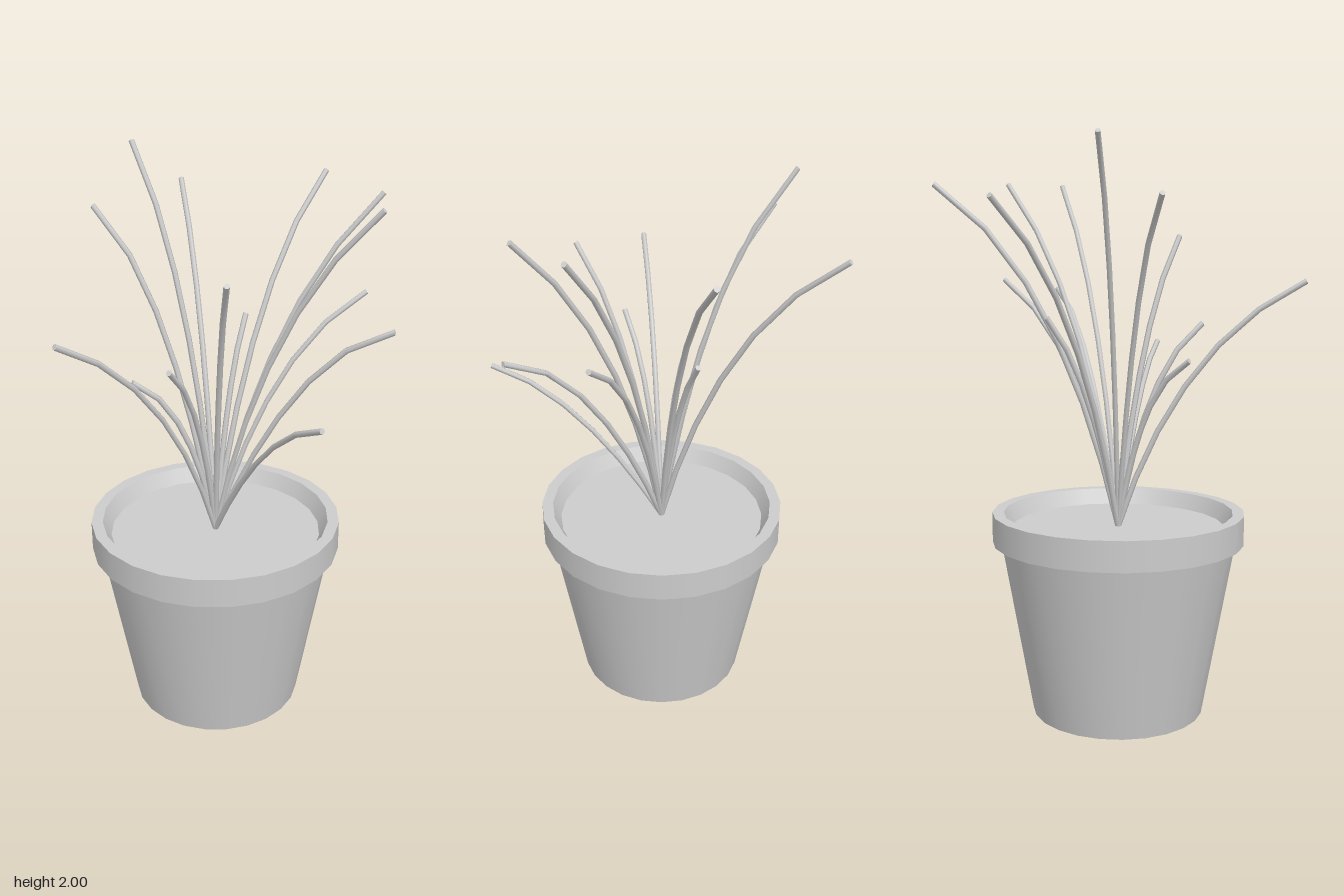
import * as THREE from 'three';

const CX = -0.085, CZ = 0.053, SOIL_Y = 0.67;

export function createModel() {
  const model = new THREE.Group();
  model.name = 'pottedPlant';
  const grey = new THREE.MeshStandardMaterial({ color: 0xcccccc });
  grey.name = 'plain grey';

  // Pot: one band per profile segment, so the corners stay sharp
  const pot = new THREE.Group();
  pot.name = 'pot';
  pot.position.set(CX, 0, CZ);
  const band = (name, r0, y0, r1, y1) => {
    const points = [new THREE.Vector2(r0, y0), new THREE.Vector2(r1, y1)];
    const mesh = new THREE.Mesh(new THREE.LatheGeometry(points, 24), grey);
    mesh.name = name;
    pot.add(mesh);
  };
  band('potBase', 0, 0, 0.304, 0);
  band('potWall', 0.304, 0, 0.415, 0.62);
  band('rimUnderside', 0.415, 0.62, 0.445, 0.62);
  band('rimOuter', 0.445, 0.62, 0.445, 0.725);
  band('rimTop', 0.445, 0.725, 0.405, 0.725);
  band('rimInner', 0.405, 0.725, 0.376, SOIL_Y);
  band('soil', 0.376, SOIL_Y, 0, SOIL_Y);
  model.add(pot);

  // Stalks: tip x, y, z, then the bend as fractions outward and upward
  const stalks = [
    [-0.295, 1.80, -0.55, 0.33, 0.75],
    [0.245, 1.86, -0.485, 0.33, 0.77],
    [-0.007, 1.41, -0.19, 0.40, 0.75],
    [0.415, 1.53, -0.126, 0.36, 0.80],
    [0.458, 1.88, -0.085, 0.31, 0.70],
    [0.517, 1.49, 0.16, 0.48, 0.90],
    [0.465, 1.88, 0.153, 0.31, 0.70],
    [0.314, 1.285, 0.498, 0.50, 0.85],
    [0.007, 1.69, 0.377, 0.36, 0.74],
    [-0.185, 1.385, 0.34, 0.32, 0.80],
    [-0.345, 1.272, 0.165, 0.31, 0.85],
    [-0.488, 1.535, 0.547, 0.32, 0.76],
    [-0.51, 1.81, -0.068, 0.39, 0.82],
    [-0.407, 1.995, -0.237, 0.30, 0.73],
  ];
  const root = new THREE.Vector3(CX, SOIL_Y, CZ);
  const foliage = new THREE.Group();
  foliage.name = 'foliage';
  for (const [x, y, z, out, up] of stalks) {
    const tip = new THREE.Vector3(x, y, z);
    const bend = tip.clone().sub(root).multiply(new THREE.Vector3(out, up, out)).add(root);
    const curve = new THREE.QuadraticBezierCurve3(root, bend, tip);
    const stalk = new THREE.Mesh(new THREE.TubeGeometry(curve, 6, 0.01, 6), grey);
    stalk.name = 'stalk';
    // Flat cut end
    const cap = new THREE.Mesh(new THREE.CircleGeometry(0.01, 6), grey);
    cap.name = 'stalkTip';
    cap.position.copy(tip);
    cap.quaternion.setFromUnitVectors(new THREE.Vector3(0, 0, 1), curve.getTangent(1));
    foliage.add(stalk, cap);
  }
  model.add(foliage);
  return model;
}
